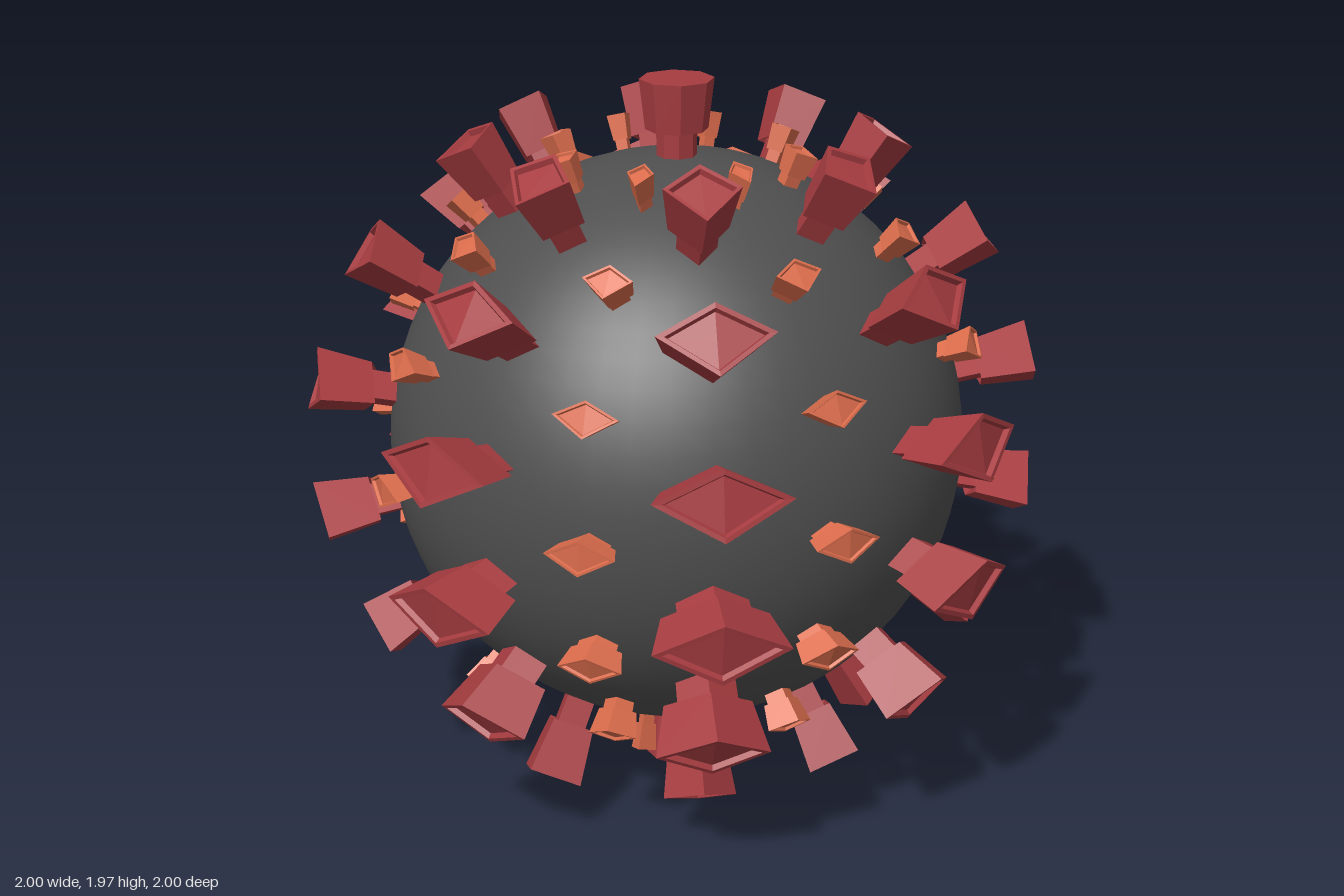
import * as THREE from 'three';

const mat = (name, color, flatShading) => {
  const m = new THREE.MeshStandardMaterial({ color });
  m.name = name;
  m.flatShading = flatShading;
  return m;
};

const rad = THREE.MathUtils.degToRad;

// unit direction from longitude (0 = front) and latitude in degrees
const dir = (lon, lat) => new THREE.Vector3(
  Math.sin(rad(lon)) * Math.cos(rad(lat)), Math.sin(rad(lat)), Math.cos(rad(lon)) * Math.cos(rad(lat)));

// rings of [height from the centre, share of the cell], from the root to the recessed tip
const LARGE = [[0.74, 0.24], [0.87, 0.25], [0.86, 0.36], [1.01, 0.46], [1.008, 0.39], [0.993, 0.36]];
const SMALL = [[0.74, 0.14], [0.82, 0.15], [0.815, 0.19], [0.885, 0.24], [0.884, 0.205], [0.876, 0.19]];
const POLE = [[0.74, 0.27], [0.865, 0.28], [0.86, 0.43], [0.995, 0.51]];

// skin a spike through scaled copies of its cell outline and close the tip
function spikeGeometry(axis, corners, profile) {
  const n = corners.length;
  const rings = profile.map(([h, s]) => corners.map((c) =>
    axis.clone().multiplyScalar(h).addScaledVector(c.clone().sub(axis), s)));
  const points = [];
  for (let k = 0; k < rings.length - 1; k++) {
    const lo = rings[k], hi = rings[k + 1];
    for (let i = 0; i < n; i++) {
      const j = (i + 1) % n;
      points.push(lo[i], lo[j], hi[j], lo[i], hi[j], hi[i]);
    }
  }
  const tip = rings[rings.length - 1];
  const mid = tip[1].clone().add(tip[1 + n / 2]).multiplyScalar(0.5);
  for (let i = 0; i < n; i++) points.push(tip[i], tip[(i + 1) % n], mid);
  const geometry = new THREE.BufferGeometry().setFromPoints(points);
  geometry.computeVertexNormals();
  return geometry;
}

export function createModel() {
  const model = new THREE.Group();
  model.name = 'spikedSphere';
  const grey = mat('darkGrey', 0x4f4f4f, false);
  const red = mat('darkRed', 0xa63c40, true);
  const orange = mat('orange', 0xdb6c4c, true);

  const shell = new THREE.Group();
  shell.name = 'shell';
  shell.position.y = 0.985;
  model.add(shell);

  const body = new THREE.Mesh(new THREE.SphereGeometry(0.783, 48, 32), grey);
  body.name = 'body';
  shell.add(body);

  const addSpike = (name, axis, corners, profile, material) => {
    const mesh = new THREE.Mesh(spikeGeometry(axis, corners, profile), material);
    mesh.name = name;
    shell.add(mesh);
  };

  // diamond cell: 22.5 degrees to each side, 11.25 up and down
  const diamond = (lon, lat) => [
    dir(lon + 22.5, lat), dir(lon, lat + 11.25), dir(lon - 22.5, lat), dir(lon, lat - 11.25)];

  // two interleaved sets of spikes, eight columns each
  for (let i = 0; i < 8; i++) {
    for (const lat of [-56.25, -33.75, -11.25, 11.25, 33.75, 56.25]) {
      addSpike('largeSpike', dir(i * 45, lat), diamond(i * 45, lat), LARGE, red);
    }
    for (const lat of [-67.5, -45, -22.5, 0, 22.5, 45, 67.5]) {
      const lon = i * 45 + 22.5;
      addSpike('smallSpike', dir(lon, lat), diamond(lon, lat), SMALL, orange);
    }
  }

  // eight-sided spikes at top and bottom
  for (const side of [1, -1]) {
    const corners = Array.from({ length: 8 }, (_, i) => dir(side * i * 45, side * 78.75));
    addSpike('poleSpike', new THREE.Vector3(0, side, 0), corners, POLE, red);
  }
  return model;
}
